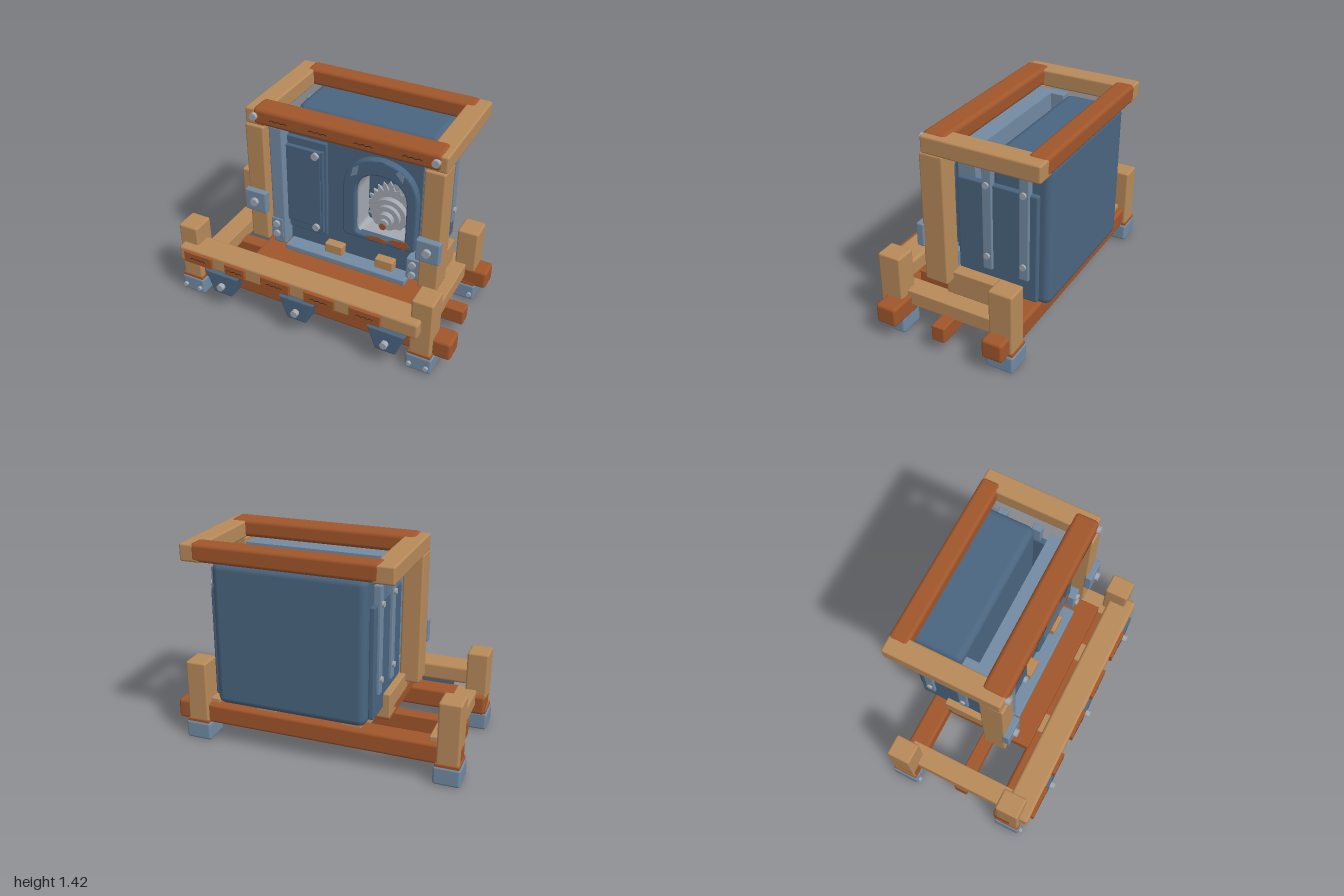
import * as THREE from 'three';
import { RoundedBoxGeometry } from 'three/addons/geometries/RoundedBoxGeometry.js';

const mat = (name, color, side = THREE.FrontSide) => {
  const m = new THREE.MeshStandardMaterial({ color, side });
  m.name = name;
  return m;
};

export function createModel() {
  const root = new THREE.Group();
  root.name = 'sawCabinet';
  const tan = mat('tanWood', 0xb88a5a), rust = mat('redWood', 0xa0562b);
  const dark = mat('darkBlueSteel', 0x4a6580), steel = mat('paleBlueSteel', 0x728ba3);
  const light = mat('bareMetal', 0xa3a9b1), ink = mat('crackBrown', 0x4a2c1c);

  const add = (name, geo, m) => {
    const mesh = new THREE.Mesh(geo, m);
    mesh.name = name;
    root.add(mesh);
    return mesh;
  };
  // Rounded block given by its limits on each axis
  const block = (name, m, x0, x1, y0, y1, z0, z1, r = 0.014) => {
    const w = x1 - x0, h = y1 - y0, d = z1 - z0;
    const geo = new RoundedBoxGeometry(w, h, d, 2, Math.min(r, w * 0.4, h * 0.4, d * 0.4));
    const mesh = add(name, geo, m);
    mesh.position.set((x0 + x1) / 2, (y0 + y1) / 2, (z0 + z1) / 2);
    return mesh;
  };
  // Round disc or bolt, along z or along x
  const disc = (name, m, x, y, z, r, len, axis = 'z', sides = 20) => {
    const mesh = add(name, new THREE.CylinderGeometry(r, r, len, sides), m);
    if (axis === 'z') mesh.rotation.x = Math.PI / 2;
    else mesh.rotation.z = Math.PI / 2;
    mesh.position.set(x, y, z);
    return mesh;
  };
  const extrude = (name, m, shape, z, depth, bevel = 0) => {
    const geo = new THREE.ExtrudeGeometry(shape, {
      depth: depth - 2 * bevel, bevelEnabled: bevel > 0, bevelSize: bevel,
      bevelThickness: bevel, bevelOffset: -bevel, bevelSegments: 2, curveSegments: 14,
    });
    const mesh = add(name, geo, m);
    mesh.position.z = z + bevel;
    return mesh;
  };
  const poly = (pts) => new THREE.Shape(pts.map((p) => new THREE.Vector2(p[0], p[1])));
  // Arched outline with a rounded foot
  const arch = (C, x0, x1, y0, y1, r, c) => {
    const s = new C();
    s.moveTo(x0 + c, y0);
    s.lineTo(x1 - c, y0);
    s.quadraticCurveTo(x1, y0, x1, y0 + c);
    s.lineTo(x1, y1 - r);
    s.bezierCurveTo(x1, y1 - r * 0.4, x1 - r * 0.4, y1, x1 - r, y1);
    s.lineTo(x0 + r, y1);
    s.bezierCurveTo(x0 + r * 0.4, y1, x0, y1 - r * 0.4, x0, y1 - r);
    s.lineTo(x0, y0 + c);
    s.quadraticCurveTo(x0, y0, x0 + c, y0);
    return s;
  };
  // Thin jagged wood crack
  const crack = (x, y, z, w) => {
    const top = [], low = [];
    for (let i = 0; i <= 6; i++) {
      const px = x + (i / 6 - 0.5) * w, py = y + (i % 2 ? 0.005 : -0.005);
      top.unshift([px, py + 0.003]);
      low.push([px, py - 0.003]);
    }
    extrude('woodCrack', ink, poly(low.concat(top)), z, 0.003);
  };

  // Corner posts, collars and bolted feet
  for (const x of [-0.912, 0.808]) {
    for (const z of [0.412, -0.39]) {
      block('cornerPost', tan, x - 0.073, x + 0.073, 0.13, 0.56, z - 0.082, z + 0.082);
      block('postCollar', rust, x - 0.08, x + 0.08, 0.12, 0.145, z - 0.088, z + 0.088, 0.005);
      block('foot', steel, x - 0.09, x + 0.09, 0, 0.128, z - 0.095, z + 0.095, 0.018);
      for (const s of [-1, 1]) disc('footBolt', light, x + s * 0.058, 0.052, z + 0.1, 0.016, 0.026);
    }
  }

  // Lower frame
  block('frontRail', rust, -0.985, 1, 0.118, 0.258, 0.303, 0.452, 0.022);
  block('backRail', rust, -0.985, 0.97, 0.122, 0.26, -0.452, -0.305, 0.022);
  block('middleRail', rust, -0.93, 0.945, 0.088, 0.203, -0.026, 0.068, 0.01);
  for (const x of [-0.848, -0.262, 0.332, 0.745])
    block('crossJoist', tan, x - 0.07, x + 0.07, 0.183, 0.29, -0.41, 0.38, 0.008);
  block('deck', rust, -0.49, 0.68, 0.288, 0.365, -0.3, 0.325, 0.008);
  for (const [x0, x1, z1] of [[-0.49, -0.4, 0.088], [-0.052, 0.078, 0.13], [0.32, 0.45, 0.13], [0.63, 0.72, 0.088]])
    block('deckBlock', tan, x0, x1, 0.306, 0.475, -0.31, z1, 0.008);

  // Front beam with inlaid patches
  block('frontBeam', tan, -0.96, 0.81, 0.305, 0.425, 0.37, 0.553, 0.02);
  for (const [x0, x1] of [[-0.905, -0.685], [-0.58, -0.425], [-0.3, -0.085], [0.025, 0.243], [0.35, 0.565]]) {
    block('beamPatch', rust, x0, x1, 0.325, 0.41, 0.545, 0.574, 0.005);
    crack((x0 + x1) / 2, 0.368, 0.573, 0.12);
  }
  // Tapered hanging brackets
  for (const x of [-0.615, -0.037, 0.605]) {
    extrude('hangingBracket', dark, poly([[x - 0.07, 0.133], [x + 0.07, 0.133], [x + 0.13, 0.302], [x - 0.13, 0.302]]), 0.45, 0.118, 0.01);
    disc('bracketBolt', light, x, 0.207, 0.58, 0.025, 0.04);
  }

  // Upright frame with clamps
  for (const x of [-0.516, 0.722]) {
    block('upright', tan, x - 0.068, x + 0.068, 0.415, 1.302, 0.036, 0.2);
    block('topSideBeam', tan, x - 0.07, x + 0.07, 1.298, 1.412, -0.6, 0.185);
    block('uprightClamp', steel, x - 0.08, x + 0.08, 0.658, 0.818, 0.188, 0.24, 0.01);
    disc('clampBolt', light, x, 0.742, 0.25, 0.028, 0.032);
  }
  block('topFrontBeam', rust, -0.527, 0.757, 1.303, 1.424, 0.03, 0.193, 0.03);
  block('topBackBeam', rust, -0.495, 0.717, 1.3, 1.42, -0.602, -0.474, 0.025);
  for (const x of [-0.512, 0.724]) disc('beamBolt', light, x, 1.368, 0.2, 0.025, 0.032);
  for (const x of [-0.34, -0.06, 0.25, 0.57]) crack(x, 1.358, 0.192, 0.13);

  // Rear cabinet
  block('rearCabinet', dark, -0.41, 0.602, 0.345, 1.305, -0.572, -0.168, 0.05);
  // Side panels with bolted straps
  for (const s of [-1, 1]) {
    const at = (v) => 0.1 + s * v;
    const side = (name, m, a, b, ...rest) => block(name, m, Math.min(at(a), at(b)), Math.max(at(a), at(b)), ...rest);
    const o = s > 0 ? 0.5 : 0.505;
    side('sidePanel', dark, o, o + 0.04, 0.38, 1.12, -0.505, 0.04, 0.012);
    for (const z of [-0.174, -0.424]) {
      side('sideStrap', steel, o + 0.01, o + 0.058, 0.532, 1.24, z - 0.032, z + 0.032, 0.006);
      for (const y of [0.63, 1.12]) disc('strapBolt', light, at(o + 0.06), y, z, 0.02, 0.024, 'x');
    }
  }

  // Front wall with arched opening, steel core and dark face
  const wall = (x0, x1, y0, y1) => {
    const s = poly([[x0, y0], [x1, y0], [x1, y1], [x0, y1]]);
    s.holes.push(arch(THREE.Path, 0.17, 0.52, 0.62, 1.115, 0.17, 0.04));
    return s;
  };
  extrude('frontWallCore', steel, wall(-0.365, 0.602, 0.365, 1.3), -0.068, 0.118);
  extrude('frontWallFace', dark, wall(-0.365, 0.602, 0.385, 1.278), 0.05, 0.02);
  block('leftWall', steel, -0.43, -0.36, 0.385, 1.3, -0.16, 0.04, 0.006);
  block('leftColumn', steel, -0.435, -0.338, 0.385, 1.3, 0.03, 0.16, 0.012);
  block('floorStrip', steel, -0.33, 0.56, 0.36, 0.405, 0.07, 0.18, 0.01);

  // Door with hinge rod
  block('doorFrame', dark, -0.35, -0.052, 0.505, 1.226, 0.06, 0.09, 0.01);
  block('doorLeaf', dark, -0.35, -0.086, 0.57, 1.165, 0.08, 0.112, 0.01);
  block('doorRod', dark, -0.088, -0.07, 0.535, 1.17, 0.085, 0.11, 0.006);
  for (const y of [0.576, 1.134]) disc('doorBolt', light, -0.12, y, 0.115, 0.025, 0.035);

  // Arched surround and its metal lining
  const ring = arch(THREE.Shape, 0.077, 0.595, 0.597, 1.224, 0.26, 0.04);
  ring.holes.push(arch(THREE.Path, 0.17, 0.52, 0.635, 1.112, 0.17, 0.04));
  extrude('archSurround', dark, ring, 0.06, 0.06, 0.012);
  const lining = arch(THREE.Shape, 0.165, 0.525, 0.615, 1.12, 0.17, 0.04);
  lining.holes.push(arch(THREE.Path, 0.178, 0.512, 0.632, 1.104, 0.165, 0.04));
  extrude('archLining', light, lining, -0.072, 0.16);
  // Worn spots
  const z = 0.119;
  extrude('wornSpot', steel, poly([[0.135, 1.06], [0.18, 1.09], [0.19, 1.16], [0.15, 1.13]]), z, 0.003);
  extrude('wornSpot', steel, poly([[0.44, 1.17], [0.49, 1.11], [0.5, 1.16], [0.46, 1.185]]), z, 0.003);
  extrude('rustSpot', rust, poly([[0.24, 0.615], [0.39, 0.608], [0.4, 0.635], [0.34, 0.65], [0.27, 0.642]]), z, 0.004);
  extrude('rustSpot', rust, poly([[0.4, 0.635], [0.52, 0.605], [0.555, 0.64], [0.53, 0.67], [0.44, 0.66]]), z, 0.004);

  // Toothed blade, flanges and axle
  const teeth = [];
  for (let i = 0; i < 22; i++) {
    const a = (i / 22) * Math.PI * 2;
    teeth.push([0.34 + Math.cos(a) * 0.15, 0.745 + Math.sin(a) * 0.15]);
    teeth.push([0.34 + Math.cos(a + 0.08) * 0.18, 0.745 + Math.sin(a + 0.08) * 0.18]);
  }
  extrude('sawBlade', light, poly(teeth), -0.085, 0.014);
  const backBlade = extrude('rearBlade', light, poly(teeth), -0.145, 0.012);
  backBlade.scale.set(1, 1, 1);
  for (const [r, len] of [[0.125, 0.05], [0.09, 0.08], [0.055, 0.12]])
    disc('bladeFlange', light, 0.34, 0.72, -0.08 + len / 2, r, len, 'z', 28);
  disc('axle', light, 0.34, 0.71, -0.06, 0.035, 0.24);
  disc('axleNut', rust, 0.34, 0.695, 0.05, 0.024, 0.03);

  // Lower corner brackets beside the wall
  for (const x of [-0.4, 0.604]) {
    block('wallBracket', steel, x - 0.046, x + 0.046, 0.43, 0.59, 0.04, 0.165, 0.008);
    for (const y of [0.468, 0.548]) disc('wallBracketBolt', light, x, y, 0.17, 0.024, 0.026);
  }
  return root;
}
